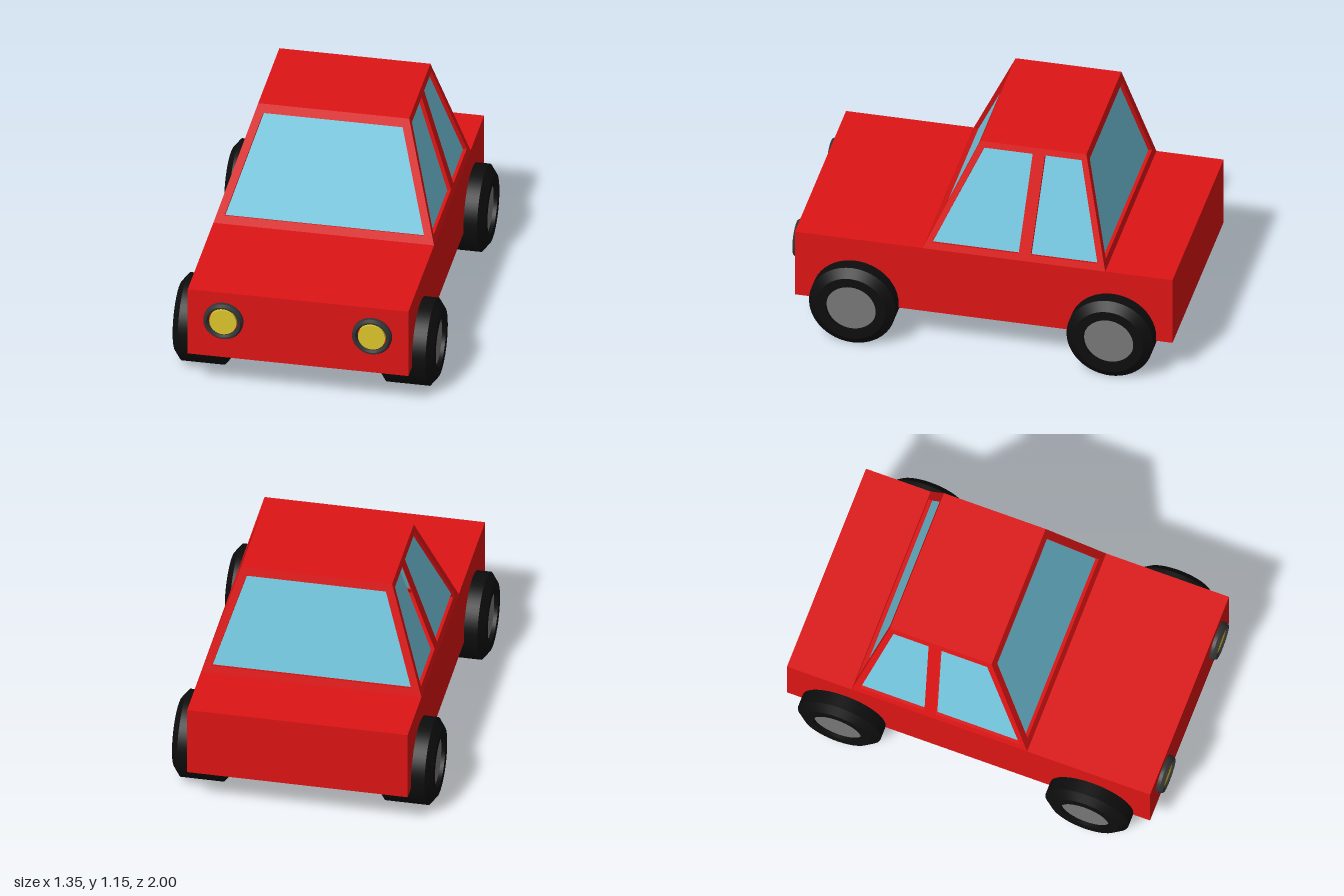
import * as THREE from 'three';

const paint = (color, extra = {}) => {
  const m = new THREE.MeshStandardMaterial(extra);
  m.color.set(color);
  return m;
};
const red = paint(0xdd1414), glass = paint(0x74c8e0, { side: THREE.DoubleSide });
const rubber = paint(0x0d0d0d), hubGrey = paint(0x777777);
const trim = paint(0x333333), yellow = paint(0xdcc52c);

// Cabin outline: sill and roof heights, half widths, front and back z
const SILL = 0.58, ROOF = 1.155, W0 = 0.57, W1 = 0.39;
const F0 = 0.3, F1 = 0.04, B0 = -0.65, B1 = -0.51;

function add(parent, name, geometry, material, x = 0, y = 0, z = 0) {
  const mesh = new THREE.Mesh(geometry, material);
  mesh.name = name;
  mesh.position.set(x, y, z);
  parent.add(mesh);
  return mesh;
}

// Sloping cabin wall: a framed panel with recessed panes; points are [along, height]
function cabinWall(name, origin, along, rise, outline, windows) {
  const wall = new THREE.Group();
  wall.name = name;
  const up = rise.clone().normalize();
  const stretch = rise.length() / rise.y;
  const flat = pts => pts.map(([h, y]) => new THREE.Vector2(h, (y - SILL) * stretch));
  const frame = new THREE.Shape(flat(outline));
  for (const w of windows) {
    frame.holes.push(new THREE.Path(flat(w)));
    add(wall, 'windowGlass', new THREE.ShapeGeometry(new THREE.Shape(flat(w))), glass, 0, 0, -0.02);
  }
  const geometry = new THREE.ExtrudeGeometry(frame, { depth: 0.03, bevelEnabled: false });
  add(wall, 'windowFrame', geometry, red, 0, 0, -0.03);
  const basis = new THREE.Matrix4().makeBasis(along, up, along.clone().cross(up));
  wall.quaternion.setFromRotationMatrix(basis);
  wall.position.copy(origin);
  return wall;
}

function makeCabin() {
  const cabin = new THREE.Group();
  cabin.name = 'cabin';
  const V = (x, y, z) => new THREE.Vector3(x, y, z);
  const H = ROOF - SILL;
  const endOutline = [[-W0, SILL], [W0, SILL], [W1, ROOF], [-W1, ROOF]];
  const endWindow = [[-0.515, 0.62], [0.515, 0.62], [0.36, 1.112], [-0.36, 1.112]];
  cabin.add(cabinWall('windscreen', V(0, SILL, F0), V(1, 0, 0), V(0, H, F1 - F0), endOutline, [endWindow]));
  cabin.add(cabinWall('rearWindow', V(0, SILL, B0), V(-1, 0, 0), V(0, H, B1 - B0), endOutline, [endWindow]));

  // Side walls, with two windows and a leaning pillar between them
  const sideOutline = [[F0, SILL], [B0, SILL], [B1, ROOF], [F1, ROOF]];
  const sideWindows = [
    [[0.255, 0.615], [-0.197, 0.615], [-0.233, 1.123], [0.02, 1.123]],
    [[-0.26, 0.615], [-0.607, 0.615], [-0.487, 1.123], [-0.297, 1.123]],
  ];
  for (const s of [1, -1]) {
    const turn = pts => pts.map(([z, y]) => [-s * z, y]);
    cabin.add(cabinWall(s > 0 ? 'leftSide' : 'rightSide', V(s * W0, SILL, 0), V(0, 0, -s),
      V(s * (W1 - W0), H, 0), turn(sideOutline), sideWindows.map(turn)));
  }
  add(cabin, 'roof', new THREE.BoxGeometry(2 * W1, 0.02, F1 - B1), red, 0, ROOF - 0.01, (F1 + B1) / 2);
  return cabin;
}

// Turned part with hard edges: every profile segment is lathed separately
function turned(parent, name, profile, material, segments) {
  for (let i = 0; i + 1 < profile.length; i++) {
    const pts = [profile[i], profile[i + 1]].map(p => new THREE.Vector2(...p));
    add(parent, name, new THREE.LatheGeometry(pts, segments), material);
  }
}

function makeWheel() {
  const wheel = new THREE.Group();
  wheel.name = 'wheel';
  turned(wheel, 'tyre', [[0.13, -0.145], [0.18, -0.145], [0.225, -0.11], [0.225, 0.11],
    [0.18, 0.145], [0.13, 0.145], [0.13, -0.145]], rubber, 48);
  add(wheel, 'hub', new THREE.CylinderGeometry(0.13, 0.13, 0.25, 48), hubGrey);
  wheel.rotation.z = Math.PI / 2;
  return wheel;
}

function makeHeadlight() {
  const light = new THREE.Group();
  light.name = 'headlight';
  turned(light, 'headlightRing', [[0.102, -0.01], [0.102, 0.018], [0.092, 0.035],
    [0.084, 0.035], [0.076, 0.022], [0.076, -0.01]], trim, 40);
  add(light, 'headlightLens', new THREE.CylinderGeometry(0.07, 0.07, 0.035, 40), yellow, 0, 0.0075, 0);
  light.rotation.x = Math.PI / 2;
  return light;
}

export function createModel() {
  const car = new THREE.Group();
  car.name = 'car';
  add(car, 'body', new THREE.BoxGeometry(1.14, 0.38, 1.965), red, 0, 0.39, -0.0175);
  car.add(makeCabin());
  for (const s of [1, -1]) {
    for (const z of [0.65, -0.69]) {
      const wheel = makeWheel();
      wheel.position.set(s * 0.53, 0.226, z);
      car.add(wheel);
    }
    const light = makeHeadlight();
    light.position.set(s * 0.384, 0.42, 0.965);
    car.add(light);
  }
  return car;
}
